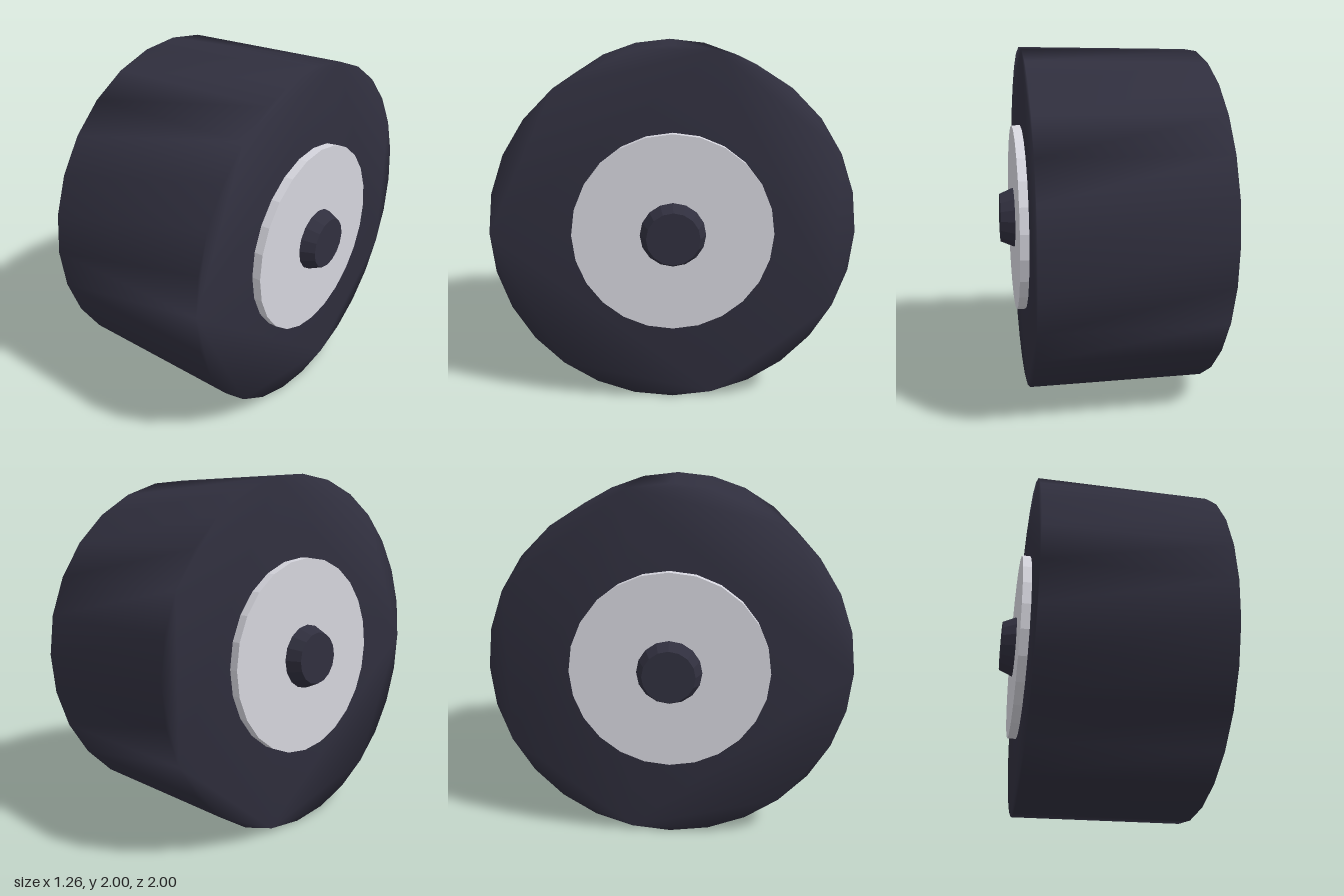
import * as THREE from 'three';
import { mergeVertices } from 'three/addons/utils/BufferGeometryUtils.js';

const TIRE_RADIUS = 1, TIRE_WIDTH = 1, TIRE_SIDES = 28;

// Solid drum lying along x, with normals blended softly across its rims
function softDrum(radius, width, sides) {
  const outline = [];
  for (let i = 0; i < sides; i++) {
    const a = (i / sides) * Math.PI * 2;
    outline.push(new THREE.Vector2(Math.cos(a) * radius, Math.sin(a) * radius));
  }
  let geo = new THREE.ExtrudeGeometry(new THREE.Shape(outline), { depth: width, bevelEnabled: false });
  geo.translate(0, 0, -width / 2).rotateY(Math.PI / 2);
  geo.deleteAttribute('normal');
  geo.deleteAttribute('uv');
  geo.clearGroups();
  geo = mergeVertices(geo, 1e-4);
  geo.computeVertexNormals();
  return geo;
}

// Faceted disc from x0 out to x1 on the given side (+1 or -1)
function disc(name, material, side, x0, x1, innerRadius, outerRadius, sides) {
  let geo = new THREE.CylinderGeometry(outerRadius, innerRadius, x1 - x0, sides);
  geo.translate(0, (x0 + x1) / 2, 0).rotateZ(-side * Math.PI / 2);
  geo = geo.toNonIndexed();
  geo.computeVertexNormals();
  const mesh = new THREE.Mesh(geo, material);
  mesh.name = name;
  return mesh;
}

export function createModel() {
  const rubber = new THREE.MeshStandardMaterial({ color: 0x302f3e });
  rubber.name = 'dark rubber';
  const metal = new THREE.MeshStandardMaterial({ color: 0xd4d4dc });
  metal.name = 'pale metal';

  const wheel = new THREE.Group();
  wheel.name = 'wheel';
  wheel.position.y = TIRE_RADIUS;

  // Tire
  const tire = new THREE.Mesh(softDrum(TIRE_RADIUS, TIRE_WIDTH, TIRE_SIDES), rubber);
  tire.name = 'tire';
  wheel.add(tire);

  // Rim plate and tapered axle cap on each side
  for (const side of [1, -1]) {
    const label = side > 0 ? 'left' : 'right';
    wheel.add(disc(label + 'Rim', metal, side, 0.48, 0.55, 0.55, 0.55, 24));
    wheel.add(disc(label + 'AxleCap', rubber, side, 0.55, 0.63, 0.18, 0.145, 16));
  }

  const model = new THREE.Group();
  model.name = 'model';
  model.add(wheel);
  return model;
}
